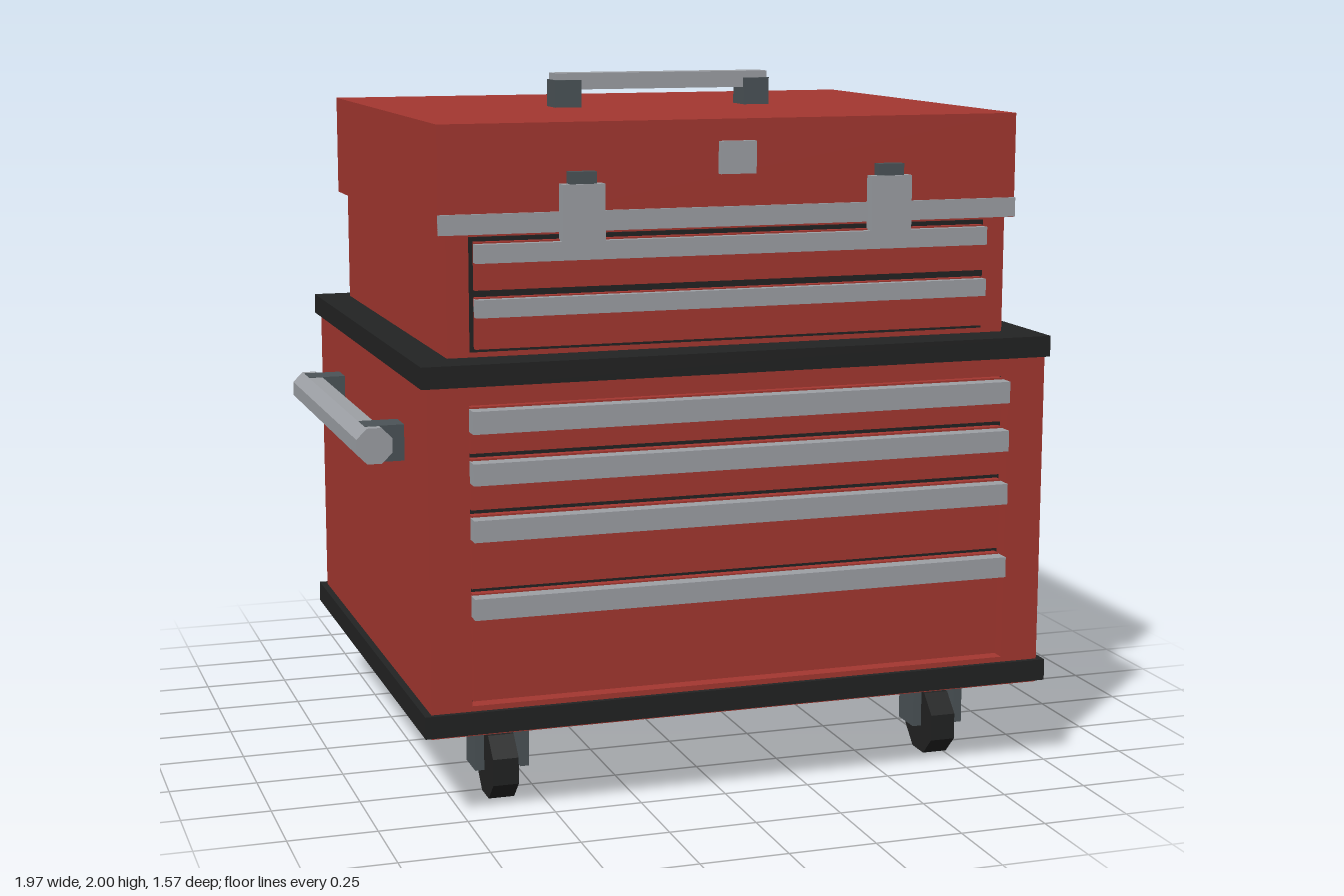
import * as THREE from 'three';

const material = (name, color) => {
  const m = new THREE.MeshStandardMaterial({ color });
  m.name = name;
  return m;
};

export function createModel() {
  const red = material('red paint', 0xa43730);
  const black = material('black rubber', 0x222323);
  const silver = material('silver metal', 0x9da0a5);
  const steel = material('dark steel', 0x4b5357);

  const model = new THREE.Group();
  model.name = 'toolChest';

  const add = (name, geometry, mat, parent = model) => {
    const mesh = new THREE.Mesh(geometry, mat);
    mesh.name = name;
    parent.add(mesh);
    return mesh;
  };
  // Box given by its extents on each axis
  const box = (name, mat, [x0, x1], [y0, y1], [z0, z1], parent) => {
    const g = new THREE.BoxGeometry(x1 - x0, y1 - y0, z1 - z0);
    g.translate((x0 + x1) / 2, (y0 + y1) / 2, (z0 + z1) / 2);
    return add(name, g, mat, parent);
  };
  // Eight-sided cylinder along z with flats facing the axes
  const octagon = (halfWidth, length) =>
    new THREE.CylinderGeometry(halfWidth / Math.cos(Math.PI / 8), halfWidth / Math.cos(Math.PI / 8), length, 8)
      .toNonIndexed().rotateY(Math.PI / 8).rotateX(Math.PI / 2);
  const flat = (g) => { g.computeVertexNormals(); return g; };
  const group = (name) => {
    const g = new THREE.Group();
    g.name = name;
    model.add(g);
    return g;
  };

  // Lower cabinet: body, trays and a front frame around the drawers
  box('cabinetBody', red, [-0.85, 0.96], [0.29, 1.22], [-0.75, 0.71]);
  box('baseTray', black, [-0.87, 0.98], [0.253, 0.315], [-0.78, 0.775]);
  box('topTray', black, [-0.865, 0.975], [1.21, 1.27], [-0.775, 0.765]);
  const frame = new THREE.Shape([[-0.85, 0.246], [0.96, 0.246], [0.96, 1.22], [-0.85, 1.22]]
    .map(([x, y]) => new THREE.Vector2(x, y)));
  frame.holes.push(new THREE.Path([[-0.735, 0.33], [-0.735, 1.16], [0.847, 1.16], [0.847, 0.33]]
    .map(([x, y]) => new THREE.Vector2(x, y))));
  add('cabinetFrame', new THREE.ExtrudeGeometry(frame, { depth: 0.05, bevelEnabled: false })
    .translate(0, 0, 0.71), red);
  box('cabinetRecess', black, [-0.735, 0.847], [0.33, 1.16], [0.705, 0.715]);

  // Lower drawers: [bottom, top, pull bottom, pull top]
  const lower = group('lowerDrawers');
  for (const [b, t, p, q] of [
    [1.025, 1.152, 1.085, 1.147], [0.87, 1.01, 0.945, 1.005],
    [0.652, 0.855, 0.79, 0.85], [0.337, 0.638, 0.575, 0.634]]) {
    box('lowerDrawerFront', red, [-0.727, 0.839], [b, t], [0.71, 0.74], lower);
    box('lowerDrawerPull', silver, [-0.73, 0.842], [p, q], [0.735, 0.785], lower);
  }

  // Upper box with two protruding drawers
  box('upperBox', red, [-0.765, 0.88], [1.27, 1.61], [-0.7, 0.64]);
  box('upperRecess', black, [-0.702, 0.81], [1.285, 1.597], [0.64, 0.648]);
  const upper = group('upperDrawers');
  for (const [b, t, p, q] of [[1.455, 1.585, 1.53, 1.581], [1.295, 1.435, 1.383, 1.432]]) {
    box('upperDrawerFront', red, [-0.692, 0.8], [b, t], [0.64, 0.669], upper);
    box('upperDrawerPull', silver, [-0.695, 0.802], [p, q], [0.665, 0.693], upper);
  }

  // Lid with trim, lock and latches
  box('lid', red, [-0.79, 0.9], [1.603, 1.9], [-0.725, 0.66]);
  box('lidTrim', silver, [-0.79, 0.9], [1.605, 1.66], [0.655, 0.668]);
  box('lockPlate', silver, [0.002, 0.106], [1.75, 1.84], [0.655, 0.68]);
  for (const x of [-0.394, 0.504]) {
    const latch = group('latch');
    box('latchPlate', silver, [x - 0.06, x + 0.06], [1.57, 1.735], [0.66, 0.698], latch);
    box('latchClip', steel, [x - 0.038, x + 0.038], [1.7, 1.768], [0.655, 0.692], latch);
  }

  // Carrying handle on the lid
  const carry = group('lidHandle');
  for (const x of [-0.28, 0.31]) box('lidHandlePost', steel, [x, x + 0.08], [1.9, 1.98], [-0.075, 0.018], carry);
  box('lidHandleBar', silver, [-0.275, 0.386], [1.952, 2], [-0.067, 0.01], carry);

  // Push handle on the side
  const push = group('sideHandle');
  add('sideHandleBar', flat(octagon(0.05, 0.995)), silver, push).position.set(-0.94, 1.015, 0.008);
  for (const z of [-0.46, 0.388]) box('sideHandlePost', steel, [-0.96, -0.85], [0.964, 1.066], [z, z + 0.088], push);

  // Casters: plate, two fork arms and an eight-sided wheel
  for (const x of [-0.612, 0.723]) for (const z of [0.547, -0.508]) {
    const caster = group('caster');
    caster.position.set(x, 0, z);
    box('casterPlate', steel, [-0.087, 0.087], [0.205, 0.255], [-0.09, 0.09], caster);
    for (const s of [-0.065, 0.065]) {
      box('casterFork', steel, [s - 0.013, s + 0.013], [0.09, 0.21], [-0.051, 0.051], caster);
    }
    add('wheel', flat(octagon(0.092, 0.074).rotateY(Math.PI / 2)), black, caster).position.y = 0.092;
  }
  return model;
}
